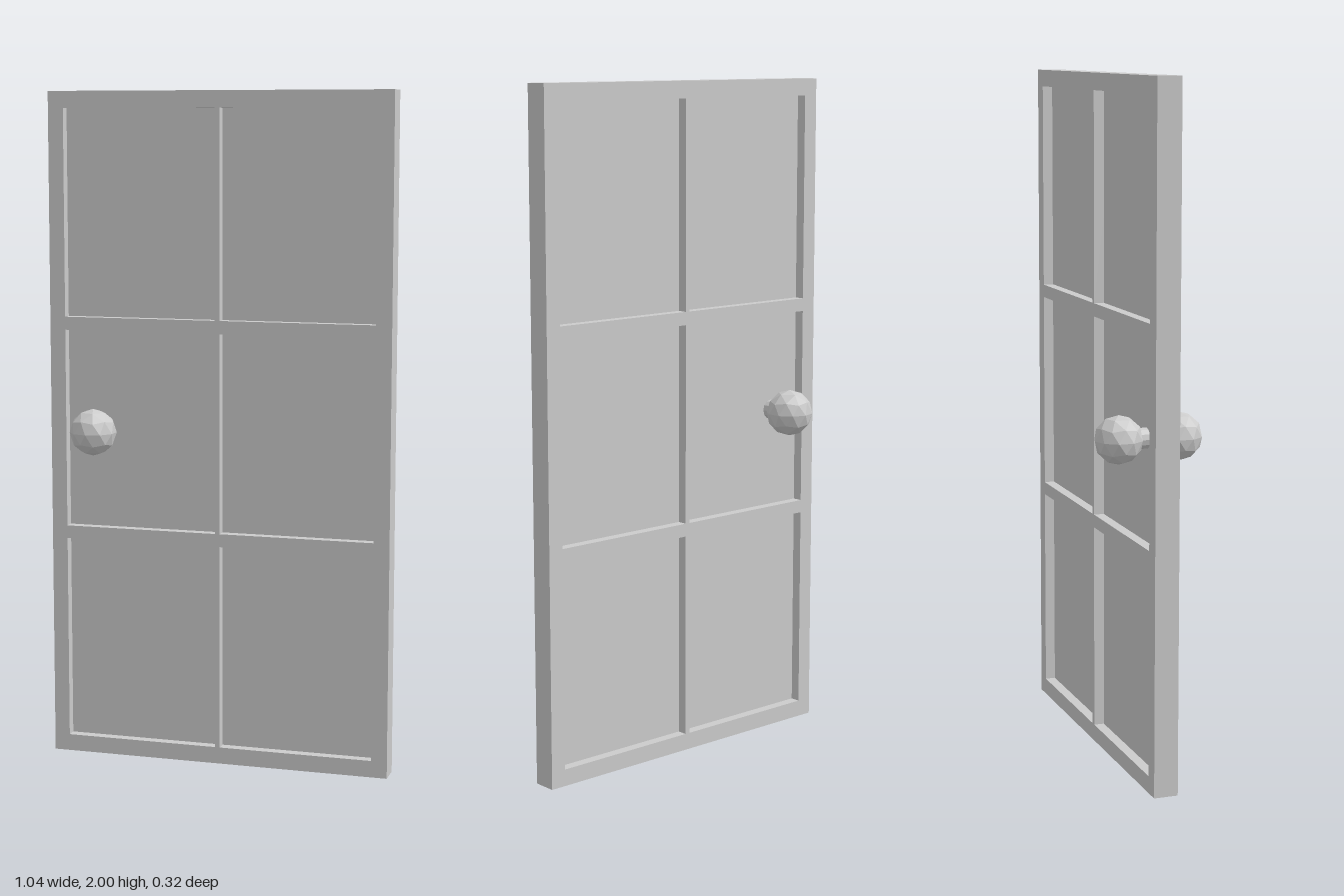
import * as THREE from 'three';

const WIDTH = 1.04, HEIGHT = 2, DEPTH = 0.071;
const PANE_X = [[-0.473, -0.0075], [0.0075, 0.473]];
const PANE_Y = [[0.05, 0.664], [0.703, 1.297], [1.336, 1.95]];
const KNOB = { x: -0.368, y: 1, z: 0.088, radius: 0.07 };

const material = new THREE.MeshStandardMaterial({ color: 0xcccccc, flatShading: true });

function addPart(group, name, geometry, x = 0, y = 0, z = 0) {
  const mesh = new THREE.Mesh(geometry, material);
  mesh.name = name;
  mesh.position.set(x, y, z);
  group.add(mesh);
  return mesh;
}

function rectangle(Type, x0, y0, x1, y1) {
  return new Type([[x0, y0], [x1, y0], [x1, y1], [x0, y1]].map(([x, y]) => new THREE.Vector2(x, y)));
}

export function createModel() {
  const door = new THREE.Group();
  door.name = 'door';

  // Frame with six openings, leaving narrow glazing bars
  const outline = rectangle(THREE.Shape, -WIDTH / 2, 0, WIDTH / 2, HEIGHT);
  for (const [x0, x1] of PANE_X)
    for (const [y0, y1] of PANE_Y) outline.holes.push(rectangle(THREE.Path, x0, y0, x1, y1));
  const frame = new THREE.ExtrudeGeometry(outline, { depth: DEPTH, bevelEnabled: false });
  addPart(door, 'frame', frame, 0, 0, -DEPTH / 2);

  // Thin recessed panels in the middle of the frame
  for (const [x0, x1] of PANE_X)
    for (const [y0, y1] of PANE_Y)
      addPart(door, 'panel', new THREE.BoxGeometry(x1 - x0, y1 - y0, 0.01), (x0 + x1) / 2, (y0 + y1) / 2);

  // Faceted knobs on both faces, each with a short stem; a facet corner points straight up
  const knob = new THREE.IcosahedronGeometry(KNOB.radius, 1);
  knob.rotateX(-Math.atan((1 + Math.sqrt(5)) / 2)).rotateY(Math.PI / 2);
  const stem = new THREE.CylinderGeometry(0.03, 0.03, 0.06, 12).rotateX(Math.PI / 2);
  for (const side of [1, -1]) {
    addPart(door, side > 0 ? 'frontKnob' : 'backKnob', knob, KNOB.x, KNOB.y, side * KNOB.z);
    addPart(door, side > 0 ? 'frontStem' : 'backStem', stem, KNOB.x, KNOB.y, side * 0.033);
  }
  return door;
}
